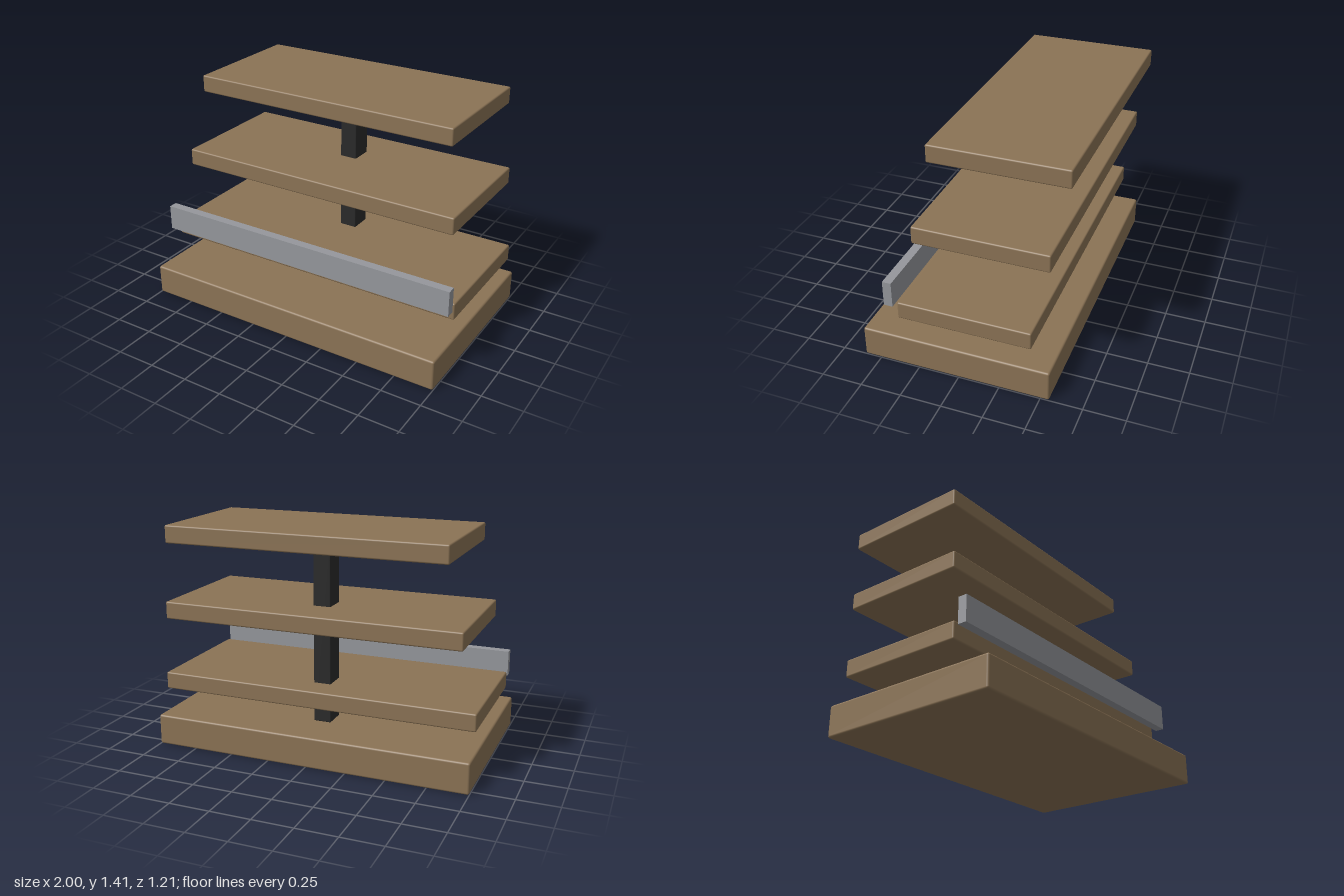
import * as THREE from 'three';
import { RoundedBoxGeometry } from 'three/addons/geometries/RoundedBoxGeometry.js';

export function createModel() {
  const group = new THREE.Group();
  const material = (name, color) => {
    const m = new THREE.MeshStandardMaterial({ color });
    m.name = name;
    return m;
  };
  const wood = material('brown wood', 0x8b7355);
  const black = material('black metal', 0x2a2a2a);
  const grey = material('grey metal', 0x95979c);

  // Box given by its full width and its y and z ranges, centred on x
  const addBox = (name, mat, width, [y0, y1], [z0, z1], radius) => {
    const size = [width, y1 - y0, z1 - z0];
    const geometry = radius
      ? new RoundedBoxGeometry(...size, 3, radius)
      : new THREE.BoxGeometry(...size);
    const mesh = new THREE.Mesh(geometry, mat);
    mesh.name = name;
    mesh.position.set(0, (y0 + y1) / 2, (z0 + z1) / 2);
    group.add(mesh);
  };

  // Thick base plinth
  addBox('base', wood, 2, [0, 0.193], [-0.552, 0.604], 0.013);

  // Three shelves, each narrower and set further back than the one below
  const shelves = [
    ['lowerShelf', 2.0, 0.335, -0.443],
    ['middleShelf', 1.857, 0.82, -0.523],
    ['topShelf', 1.715, 1.305, -0.604],
  ];
  for (const [name, width, y, z] of shelves) {
    addBox(name, wood, width, [y, y + 0.108], [z, z + 0.81], 0.01);
  }

  // Central post running through the shelves
  addBox('post', black, 0.11, [0.193, 1.31], [-0.276, -0.135], 0.006);

  // Flat rail along the front of the lower shelf
  addBox('frontRail', grey, 2, [0.407, 0.567], [0.395, 0.45], 0);

  return group;
}
